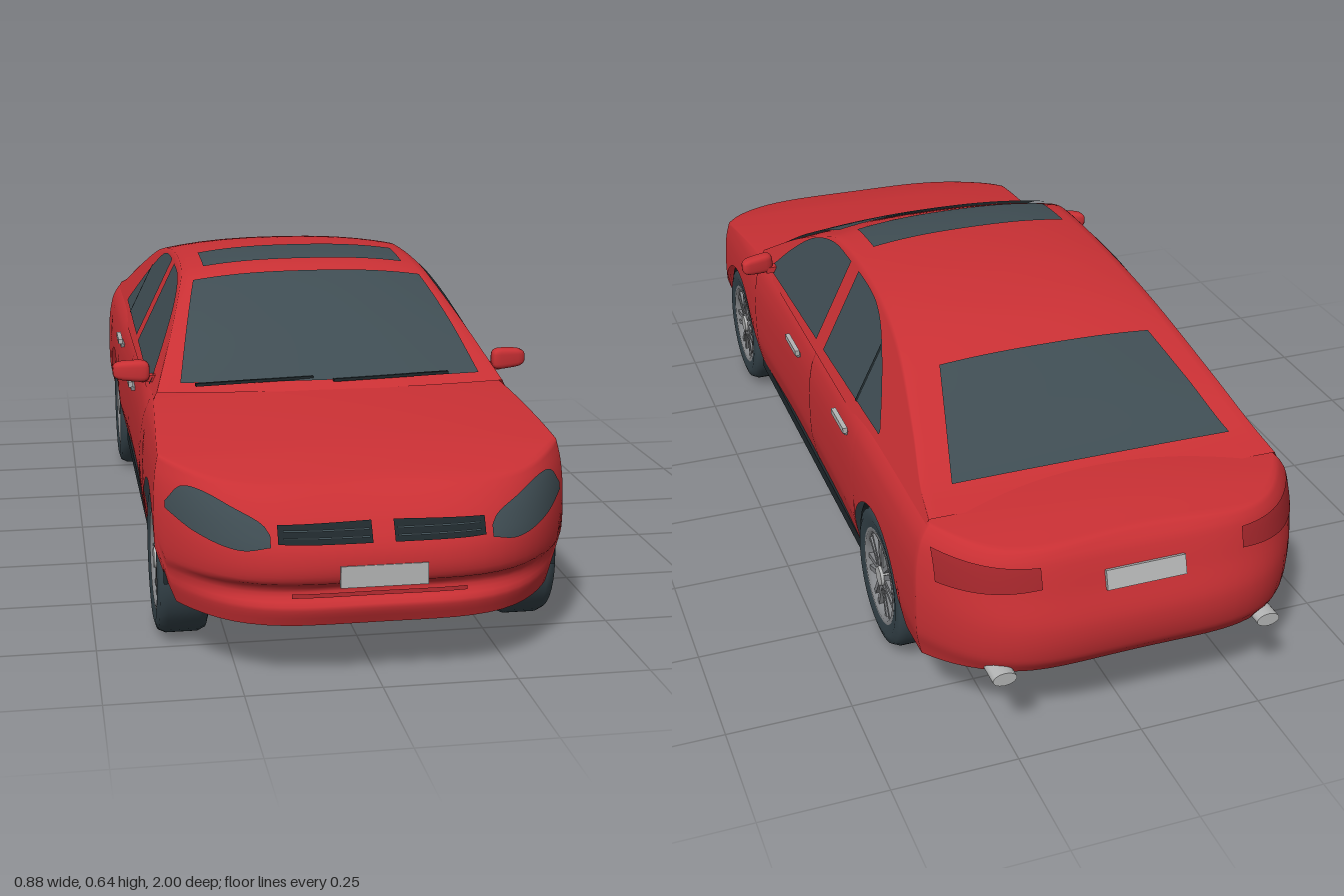
import * as THREE from 'three';
import { mergeGeometries, mergeVertices } from 'three/addons/utils/BufferGeometryUtils.js';

const material = (name, color) => {
  const m = new THREE.MeshStandardMaterial({ color, side: THREE.DoubleSide });
  m.name = name;
  return m;
};
const lerp = THREE.MathUtils.lerp;

// Smooth curve through [input, output] points sorted by input
function curve(pts) {
  const slope = (i) => {
    const a = pts[Math.max(i - 1, 0)], b = pts[Math.min(i + 1, pts.length - 1)];
    return (b[1] - a[1]) / (b[0] - a[0]);
  };
  return (q) => {
    if (q <= pts[0][0]) return pts[0][1];
    for (let i = 0; i < pts.length - 1; i++) {
      const [a, p] = pts[i], [b, r] = pts[i + 1];
      if (q > b) continue;
      const h = b - a, t = (q - a) / h, t2 = t * t, t3 = t2 * t;
      return (2 * t3 - 3 * t2 + 1) * p + (t3 - 2 * t2 + t) * h * slope(i)
        + (3 * t2 - 2 * t3) * r + (t3 - t2) * h * slope(i + 1);
    }
    return pts[pts.length - 1][1];
  };
}

// Grid surface from a rule (u, v) -> [x, y, z]
function grid(nu, nv, rule) {
  const pos = [], idx = [], n = nv + 1;
  for (let i = 0; i <= nu; i++) for (let j = 0; j <= nv; j++) pos.push(...rule(i / nu, j / nv));
  for (let i = 0; i < nu; i++) for (let j = 0; j < nv; j++) {
    const a = i * n + j, b = a + n;
    idx.push(a, b, b + 1, a, b + 1, a + 1);
  }
  const g = new THREE.BufferGeometry();
  g.setAttribute('position', new THREE.Float32BufferAttribute(pos, 3));
  g.setIndex(idx);
  g.computeVertexNormals();
  return g;
}

// Body rules: f is the fraction across the width, t runs from nose to tail
const width = curve([[0.1, 0.365], [0.16, 0.38], [0.2, 0.388], [0.28, 0.39], [0.34, 0.387], [0.38, 0.38], [0.4, 0.373], [0.42, 0.36], [0.45, 0.33]]);
const noseLean = curve([[0.11, -0.035], [0.15, -0.02], [0.165, -0.035], [0.185, -0.035], [0.2, -0.005], [0.25, 0], [0.3, -0.025], [0.34, -0.06], [0.37, -0.1], [0.45, -0.2]]);
const tailLean = curve([[0.11, 0.06], [0.16, 0.04], [0.2, 0.01], [0.27, 0], [0.34, 0.02], [0.4, 0.04], [0.42, 0.055], [0.45, 0.08]]);
const deckLine = curve([[-0.95, 0.425], [-0.85, 0.44], [-0.72, 0.445], [-0.4, 0.44], [0.3, 0.44], [0.52, 0.432], [0.785, 0.4], [0.89, 0.37], [0.94, 0.345]]);
const sillLine = curve([[-0.95, 0.165], [-0.72, 0.122], [-0.4, 0.122], [0.5, 0.122], [0.8, 0.115], [0.95, 0.112]]);
const roofLine = curve([[-0.8, 0.43], [-0.72, 0.455], [-0.6, 0.515], [-0.4, 0.598], [-0.25, 0.628], [-0.1, 0.637], [0.05, 0.632], [0.14, 0.615], [0.32, 0.535], [0.5, 0.428]]);
const AXLES = [0.65, -0.55], ARCH = 0.155, HUB = 0.145;

const noseZ = (f, y) => 1 + noseLean(y) * (1 - 0.8 * f * f) - 0.21 * Math.abs(f) ** 3.8;
const tailZ = (f, y) => -1 + tailLean(y) * (1 - 0.7 * f * f) + 0.18 * Math.abs(f) ** 4.5;
const along = (f, y, t) => lerp(noseZ(f, y), tailZ(f, y), t);
const sideX = (y, z) => width(y) * (1 - 0.018 * Math.exp(-((z / 0.35) ** 4)));
const place = (f, y, t) => {
  const z = along(f, y, t);
  return [f * sideX(y, z), y, z];
};
const deckY = (f, t) => deckLine(lerp(noseZ(f, 0.37), tailZ(f, 0.42), t)) - 0.02 * f * f;
function bottomY(f, t) {
  const z = along(f, 0.2, t);
  let y = sillLine(z);
  if (Math.abs(f) > 0.8) for (const a of AXLES) {
    const d = Math.abs(z - a);
    if (d < ARCH) y = Math.max(y, HUB + Math.sqrt(ARCH ** 2 - d * d));
  }
  return y;
}

// Cabin rules
const cabinX = (y) => 0.36 - 0.49 * (y - 0.42);
const roofDrop = (z) => 0.022 * THREE.MathUtils.clamp((roofLine(z) - 0.43) / 0.18, 0, 1);
const roofEdge = (z) => cabinX(roofLine(z) - roofDrop(z));
function cabinTop(x, z, lift = 0) {
  const f = x / roofEdge(z);
  return [x, roofLine(z) - roofDrop(z) * Math.abs(f) ** 2.5 + lift, z - 0.06 * Math.max(z, 0) * f * f];
}

export function createModel() {
  const car = new THREE.Group();
  car.name = 'car';
  const red = material('body red', 0xc93034), darkRed = material('lamp red', 0xa3262b);
  const glass = material('dark glass', 0x3f4d53), rubber = material('tyre rubber', 0x35434a);
  const black = material('black trim', 0x1f282c), silver = material('silver', 0xb4b5b5);
  const alloy = material('alloy', 0x85878a);
  const add = (name, geo, mat, parent = car) => {
    const m = new THREE.Mesh(geo, mat);
    m.name = name;
    parent.add(m);
    return m;
  };
  const box = (name, size, p, mat, parent) => {
    const m = add(name, new THREE.BoxGeometry(...size), mat, parent);
    m.position.set(...p);
    return m;
  };

  // Lower body: one wall around the plan, closed by the hood and boot deck
  const NF = 16, NT = 120, stops = [];
  const ease = (i) => Math.sin((i / NF) * Math.PI / 2);
  for (let i = 0; i <= NF; i++) stops.push([ease(i), 0]);
  for (let i = 1; i <= NT; i++) stops.push([1, i / NT]);
  for (let i = NF - 1; i >= 0; i--) stops.push([ease(i), 1]);
  const ring = [...stops, ...stops.map(([f, t]) => [-f, t]).reverse()];
  const wall = grid(ring.length - 1, 32, (u, v) => {
    const [f, t] = ring[Math.round(u * (ring.length - 1))];
    return place(f, lerp(bottomY(f, t), deckY(f, t), v), t);
  });
  const deck = grid(NT, NF * 2, (t, v) => {
    const f = ease(NF - Math.round(v * NF * 2));
    return place(f, deckY(f, t), t);
  });
  const shell = mergeGeometries([wall, deck]);
  shell.deleteAttribute('normal');
  const body = mergeVertices(shell, 1e-4);
  body.computeVertexNormals();
  add('body', body, red);

  // Cabin: roof and pillars as one skin
  const across = [0, 0.25, 0.5, 0.7, 0.85, 0.94, 1];
  const half = [...across.map((f) => [f, 0]), [1, 0.06], [1, 0.2], [1, 0.6], [1, 1]];
  const section = [...half.slice(1).reverse(), ...half.map(([f, g]) => [-f, g])];
  add('cabin', grid(70, section.length - 1, (u, v) => {
    const z = lerp(0.5, -0.8, u), [f, g] = section[Math.round(v * (section.length - 1))];
    const p = cabinTop(f * roofEdge(z), z);
    if (g === 0) return p;
    const y = lerp(p[1], 0.405, g);
    return [Math.sign(f) * cabinX(y), y, p[2]];
  }), red);

  // Glass on top
  const topGlass = (name, z0, z1, w0, w1) => add(name, grid(24, 20, (u, v) =>
    cabinTop(lerp(w0, w1, u) * (1 - 2 * v), lerp(z0, z1, u), 0.006)), glass);
  topGlass('windshield', 0.482, 0.158, 0.308, 0.25);
  topGlass('rearWindow', -0.48, -0.735, 0.225, 0.288);
  topGlass('sunroof', 0.1, -0.03, 0.222, 0.222);
  for (const s of [1, -1]) {
    const wiper = box('wiper', [0.24, 0.006, 0.008], [s * 0.14 - 0.02, 0.447, 0.478], black);
    wiper.rotation.set(0, 0.05, 0.02);
  }

  // A strip between two curves, laid on the front, rear or flank
  const onNose = (x, y, d) => [x, y, noseZ(x / width(y), y) + d];
  const onTail = (x, y, d) => [x, y, tailZ(x / width(y), y) - d];
  const onSide = (z, y, d) => [sideX(y, z) + d, y, z];
  const onCabin = (z, y, d) => [cabinX(y) + d, y, z];
  const band = (name, mat, side, lay, a0, a1, low, high, d = 0.005) => add(name, grid(20, 8, (u, v) => {
    const a = lerp(a0, a1, u), y = lerp(low(a), high(a), v), p = lay(a, y, d);
    return [side * p[0], p[1], p[2]];
  }), mat);
  const flat = (y) => () => y;

  const lampLow = curve([[0.2, 0.268], [0.254, 0.259], [0.325, 0.276], [0.372, 0.3]]);
  const lampHigh = curve([[0.2, 0.288], [0.212, 0.305], [0.26, 0.328], [0.313, 0.348], [0.348, 0.345], [0.372, 0.312]]);
  const windowTop = curve([[-0.49, 0.445], [-0.43, 0.492], [-0.36, 0.54], [-0.28, 0.583], [-0.2, 0.602], [-0.02, 0.604], [0.1, 0.596], [0.21, 0.56], [0.3, 0.498], [0.37, 0.432]]);
  const windowLow = curve([[-0.49, 0.438], [-0.07, 0.43], [0.37, 0.422]]);
  for (const s of [1, -1]) {
    band('headlight', glass, s, onNose, 0.2, 0.372, lampLow, lampHigh, 0.007);
    band('grille', black, s, onNose, 0.02, 0.187, (x) => 0.272 + 0.03 * Math.max(0, x - 0.15), (x) => 0.308 - 0.02 * x, 0.005);
    for (const y of [0.282, 0.294]) band('grilleSlat', glass, s, onNose, 0.025, 0.178, flat(y), flat(y + 0.003), 0.009);
    band('bumperSlot', darkRed, s, onNose, 0, 0.16, flat(0.165), flat(0.172));
    band('tailLight', darkRed, s, onTail, 0.2, 0.365, (x) => 0.355 - 0.12 * (x - 0.2), flat(0.395));
    band('frontSideWindow', glass, s, onCabin, 0.37, -0.035, windowLow, windowTop);
    band('rearSideWindow', glass, s, onCabin, -0.09, -0.49, windowLow, windowTop);
    band('quarterBar', black, s, onCabin, -0.335, -0.345, windowLow, windowTop, 0.007);
    for (const z of [0.445, -0.045]) band('doorLine', darkRed, s, onSide, z, z - 0.004, flat(0.13), flat(0.41), 0.002);

    // Door handles, mirrors, sills and exhaust tips
    for (const [z, y] of [[0.08, 0.36], [-0.31, 0.374]]) {
      box('doorHandle', [0.01, 0.012, 0.09], [s * 0.388, y + 0.004, z], silver);
      box('handleCup', [0.012, 0.008, 0.07], [s * 0.381, y - 0.008, z], alloy);
    }
    const mirror = new THREE.SphereGeometry(1, 20, 14);
    const mp = mirror.attributes.position;
    for (let i = 0; i < mp.count; i++) {
      const q = (c) => Math.sign(c) * Math.abs(c) ** 0.55;
      const x = q(mp.getX(i));
      mp.setXYZ(i, s * (0.4 + x * 0.038), 0.448 + q(mp.getY(i)) * (0.021 - 0.003 * x), 0.352 + q(mp.getZ(i)) * 0.018 - 0.008 * x);
    }
    if (s < 0) mirror.index.array.reverse();
    mirror.computeVertexNormals();
    add('mirror', mirror, red);
    box('mirrorArm', [0.04, 0.014, 0.022], [s * 0.36, 0.432, 0.352], red);
    box('sill', [0.035, 0.026, 0.88], [s * 0.353, 0.112, 0.05], black);
    box('floorRail', [0.04, 0.02, 1.3], [s * 0.245, 0.1, 0.1], black);
    const tip = add('exhaustTip', new THREE.CylinderGeometry(0.014, 0.014, 0.06, 14), silver);
    tip.rotation.x = Math.PI / 2;
    tip.scale.x = 1.7;
    tip.position.set(s * 0.27, 0.172, -0.945);
  }
  box('frontPlate', [0.158, 0.04, 0.008], [0, 0.213, 1.0], silver);
  box('rearPlate', [0.158, 0.038, 0.008], [0, 0.352, -0.982], silver).rotation.x = 0.3;

  // Underside
  const edge = [[0.12, 0.95], [0.22, 0.92], [0.31, 0.86], [0.35, 0.805], [0.27, 0.805], [0.27, 0.495], [0.36, 0.495],
    [0.36, -0.395], [0.27, -0.395], [0.27, -0.705]];
  const plan = new THREE.Shape([...edge, ...edge.map(([x, z]) => [-x, z]).reverse()].map((p) => new THREE.Vector2(...p)));
  const pan = new THREE.ExtrudeGeometry(plan, { depth: 0.012, bevelEnabled: false }).rotateX(Math.PI / 2);
  add('floorPan', pan, black).position.y = 0.124;
  add('rearFloor', grid(8, 2, (u, v) => [(1 - 2 * v) * (0.355 - 0.1 * u ** 3), lerp(0.122, 0.168, u), lerp(-0.7, -0.935, u)]), black);
  box('engineTray', [0.16, 0.025, 0.2], [0, 0.109, 0.7], glass);
  box('tunnel', [0.06, 0.012, 1.1], [0, 0.107, 0], glass);
  const pipe = new THREE.CatmullRomCurve3([[0.06, 0.1, 0.4], [0.06, 0.1, -0.35], [0.12, 0.11, -0.6], [0.2, 0.14, -0.78], [0.27, 0.172, -0.92]].map((p) => new THREE.Vector3(...p)));
  add('exhaustPipe', new THREE.TubeGeometry(pipe, 30, 0.012, 8), rubber);
  const spare = add('spareWell', new THREE.CylinderGeometry(0.14, 0.12, 0.03, 28), black);
  spare.position.set(-0.04, 0.135, -0.8);
  spare.rotation.x = 0.18;

  // Wheels with arches
  const ringOf = (pts) => new THREE.LatheGeometry(pts.map((p) => new THREE.Vector2(...p)), 40).rotateZ(-Math.PI / 2);
  const tyre = ringOf([[0.098, -0.045], [0.122, -0.05], [0.138, -0.045], [0.145, -0.03], [0.145, 0.03], [0.138, 0.045], [0.122, 0.05], [0.098, 0.045]]);
  const rim = ringOf([[0.1, 0.046], [0.092, 0.047], [0.087, 0.04], [0.084, 0.01]]);
  const liner = new THREE.CylinderGeometry(0.154, 0.154, 0.105, 28, 1, true, 0, Math.PI).rotateZ(Math.PI / 2);
  const inner = new THREE.CircleGeometry(0.154, 28, 0, Math.PI).rotateY(Math.PI / 2);
  for (const z of AXLES) {
    const axle = add('axle', new THREE.CylinderGeometry(0.018, 0.018, 0.6, 12), glass);
    axle.rotation.z = Math.PI / 2;
    axle.position.set(0, HUB - 0.025, z);
    for (const s of [1, -1]) {
      add('archLiner', liner, black).position.set(s * 0.322, HUB, z);
      add('archWall', inner, black).position.set(s * 0.27, HUB, z);
      const wheel = new THREE.Group();
      wheel.name = 'wheel';
      wheel.position.set(s * 0.335, HUB, z);
      if (s < 0) wheel.rotation.y = Math.PI;
      car.add(wheel);
      add('tyre', tyre, rubber, wheel);
      add('rim', rim, alloy, wheel);
      const disc = add('brakeDisc', new THREE.CylinderGeometry(0.09, 0.09, 0.02, 28), black, wheel);
      const hub = add('hub', new THREE.CylinderGeometry(0.02, 0.024, 0.03, 16), silver, wheel);
      disc.rotation.z = hub.rotation.z = -Math.PI / 2;
      disc.position.x = 0.005;
      hub.position.x = 0.032;
      for (let i = 0; i < 7; i++) {
        const spoke = new THREE.Group();
        spoke.name = 'spoke';
        spoke.rotation.x = (i / 7) * Math.PI * 2;
        wheel.add(spoke);
        for (const k of [1, -1]) box('spokeBar', [0.014, 0.076, 0.01], [0.034, 0.053, k * 0.01], alloy, spoke).rotation.x = k * 0.1;
      }
    }
  }
  return car;
}
